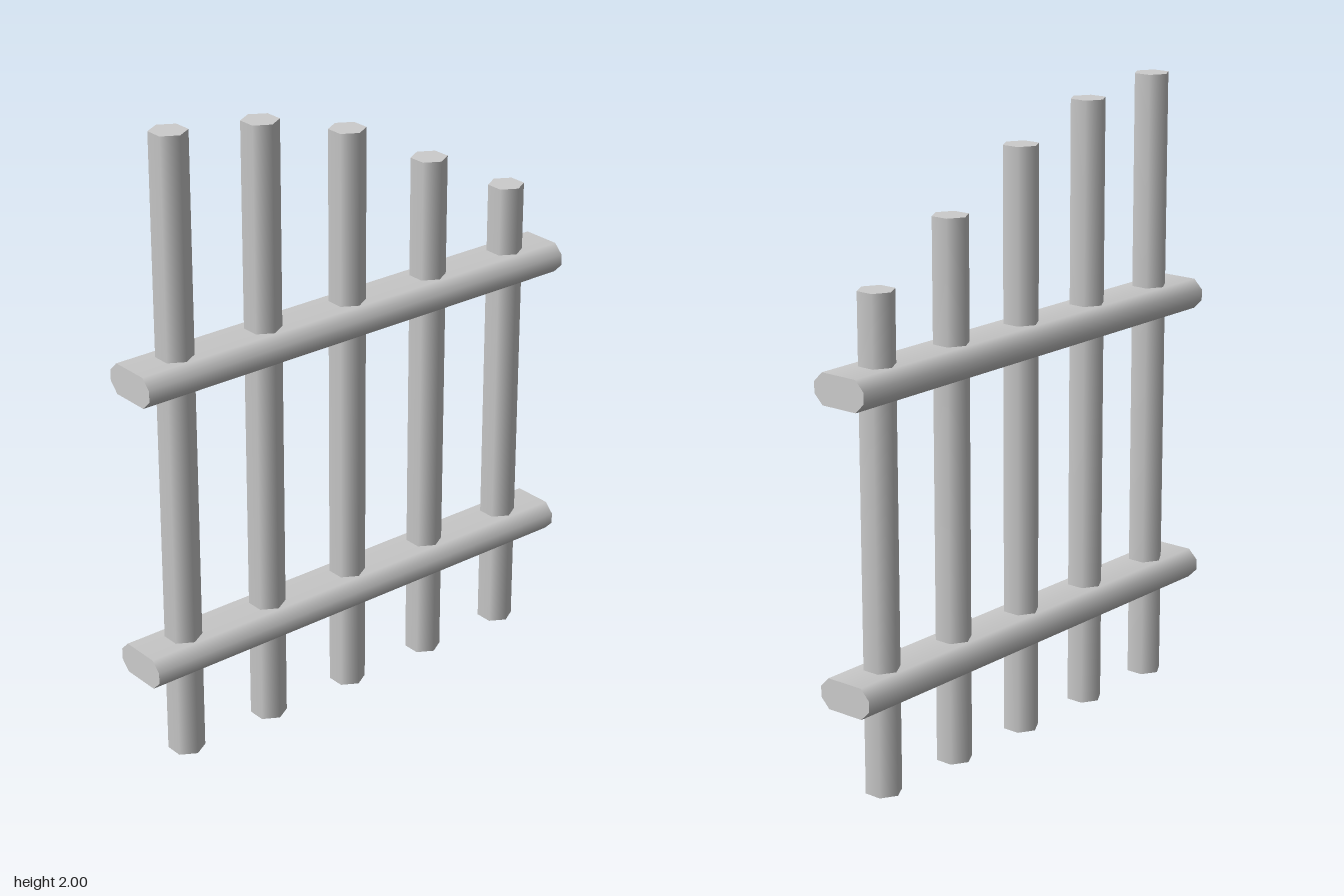
import * as THREE from 'three';

// Rail along z: an eight-sided prism squashed into a chamfered plank section
function railGeometry(width, height, chamfer, length) {
  const g = new THREE.CylinderGeometry(1, 1, length, 8, 1, false, Math.PI / 8);
  g.rotateX(Math.PI / 2);
  const p = g.attributes.position;
  const place = (c, half) =>
    Math.abs(c) < 0.01 ? 0 : Math.sign(c) * (Math.abs(c) > 0.6 ? half : half - chamfer);
  for (let i = 0; i < p.count; i++) {
    p.setXY(i, place(p.getX(i), width / 2), place(p.getY(i), height / 2));
  }
  return g;
}

export function createModel() {
  const model = new THREE.Group();
  model.name = 'fence';
  const grey = new THREE.MeshStandardMaterial({ color: 0xcccccc });
  grey.name = 'light grey';

  // Hexagonal bars, falling away in a curve from front to back
  [2, 1.96, 1.863, 1.7, 1.537].forEach((height, i) => {
    const bar = new THREE.Mesh(
      new THREE.CylinderGeometry(0.057, 0.057, height, 6, 1, false, Math.PI / 2), grey);
    bar.name = `bar${i + 1}`;
    bar.position.set(0, height / 2, 0.64 - i * 0.32);
    model.add(bar);
  });

  // Two cross rails
  const geometry = railGeometry(0.19, 0.097, 0.031, 1.6);
  [['lowerRail', 0.345], ['upperRail', 1.269]].forEach(([name, y]) => {
    const rail = new THREE.Mesh(geometry, grey);
    rail.name = name;
    rail.position.y = y;
    model.add(rail);
  });

  return model;
}
